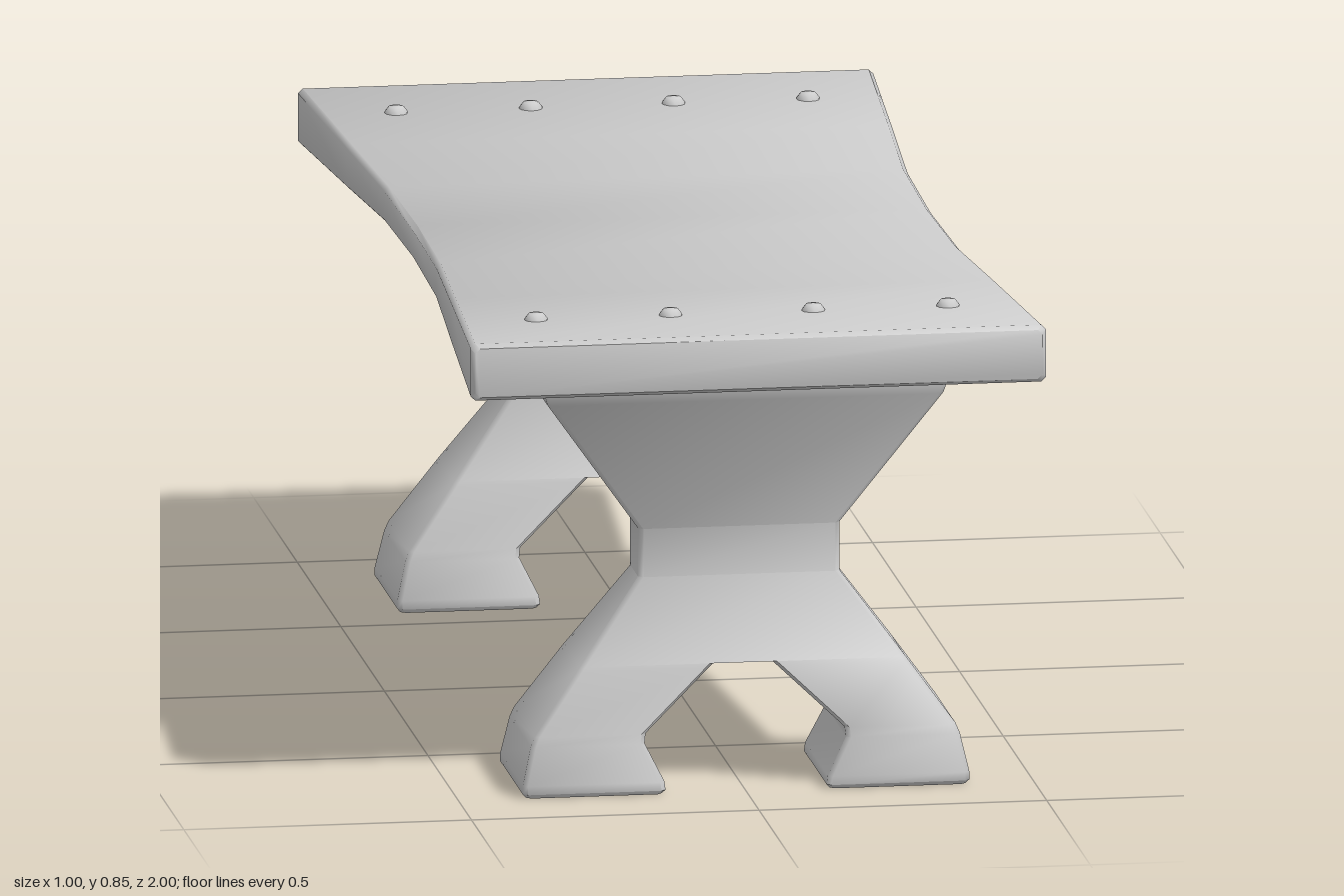
import * as THREE from 'three';
import { mergeGeometries, toCreasedNormals } from 'three/addons/utils/BufferGeometryUtils.js';

const material = new THREE.MeshStandardMaterial({ color: 0xcccccc });

// Joins chamfered rectangles stacked along y. Section: [y, x0, x1, halfDepth]
function loft(sections, capBottom, capTop, c = 0.008) {
  const pos = [], index = [], n = 8;
  for (const [y, x0, x1, d] of sections) {
    const ring = [
      [x0 + c, d], [x1 - c, d], [x1, d - c], [x1, c - d],
      [x1 - c, -d], [x0 + c, -d], [x0, c - d], [x0, d - c],
    ];
    for (const [x, z] of ring) pos.push(x, y, z);
  }
  for (let s = 0; s < sections.length - 1; s++) {
    for (let i = 0; i < n; i++) {
      const a = s * n + i, b = s * n + (i + 1) % n;
      index.push(a, b, b + n, a, b + n, a + n);
    }
  }
  const top = (sections.length - 1) * n;
  for (let i = 1; i < n - 1; i++) {
    if (capBottom) index.push(0, i + 1, i);
    if (capTop) index.push(top, top + i, top + i + 1);
  }
  const g = new THREE.BufferGeometry();
  g.setAttribute('position', new THREE.Float32BufferAttribute(pos, 3));
  g.setIndex(index);
  return g.toNonIndexed();
}

function makeMesh(name, geometry) {
  const mesh = new THREE.Mesh(geometry, material);
  mesh.name = name;
  return mesh;
}

// Hourglass support splitting into two feet
function supportGeometry() {
  const body = loft([
    [0.22, -0.283, 0.283, 0.1],
    [0.365, -0.175, 0.175, 0.053],
    [0.45, -0.175, 0.175, 0.053],
    [0.69, -0.344, 0.344, 0.131],
    [0.71, -0.35, 0.35, 0.138],
    [0.765, -0.35, 0.35, 0.138],
  ], false, true);
  const foot = [
    [0, 0.146, 0.382, 0.133],
    [0.007, 0.14, 0.388, 0.138],
    [0.022, 0.142, 0.388, 0.138],
    [0.088, 0.175, 0.373, 0.129],
    [0.105, 0.173, 0.366, 0.126],
    [0.213, 0.058, 0.288, 0.102],
    [0.22, 0.05, 0.283, 0.1],
  ];
  const mirrored = foot.map(([y, a, b, d]) => [y, -b, -a, d]);
  const arch = new THREE.PlaneGeometry(0.12, 0.2).rotateX(Math.PI / 2).translate(0, 0.22, 0).toNonIndexed();
  arch.deleteAttribute('uv');
  arch.deleteAttribute('normal');
  const merged = mergeGeometries([body, loft(foot, true, false), loft(mirrored, true, false), arch]);
  return toCreasedNormals(merged, 0.9);
}

// Plank that narrows and thins towards its middle
function plankGeometry() {
  const half = [
    [0.3, 0.455, 0.033], [0.6, 0.475, 0.041],
    [0.99, 0.5, 0.05], [1, 0.493, 0.043],
  ];
  const sections = [
    ...half.map(([z, w, h]) => [-z, -w, w, h]).reverse(),
    [0, -0.45, 0.45, 0.031],
    ...half.map(([z, w, h]) => [z, -w, w, h]),
  ];
  const g = loft(sections, true, true).rotateX(Math.PI / 2).translate(0, 0.787, 0);
  return toCreasedNormals(g, 0.9);
}

export function createModel() {
  const model = new THREE.Group();
  model.name = 'bench';
  model.add(makeMesh('plank', plankGeometry()));

  const support = supportGeometry();
  const rivetProfile = [[0.021, 0.822], [0.02, 0.835], [0.013, 0.844], [0, 0.846]]
    .map(([r, y]) => new THREE.Vector2(r, y));
  const rivet = new THREE.LatheGeometry(rivetProfile, 12);

  // One support and a row of rivets at each end
  for (const [end, s] of [['front', 1], ['back', -1]]) {
    const leg = makeMesh(end + 'Support', support);
    leg.position.z = s * 0.72;
    model.add(leg);
    const row = new THREE.Group();
    row.name = end + 'Rivets';
    for (const x of [-0.358, -0.124, 0.124, 0.358]) {
      const stud = makeMesh('rivet', rivet);
      stud.position.set(x, 0, s * 0.803);
      row.add(stud);
    }
    model.add(row);
  }
  return model;
}
